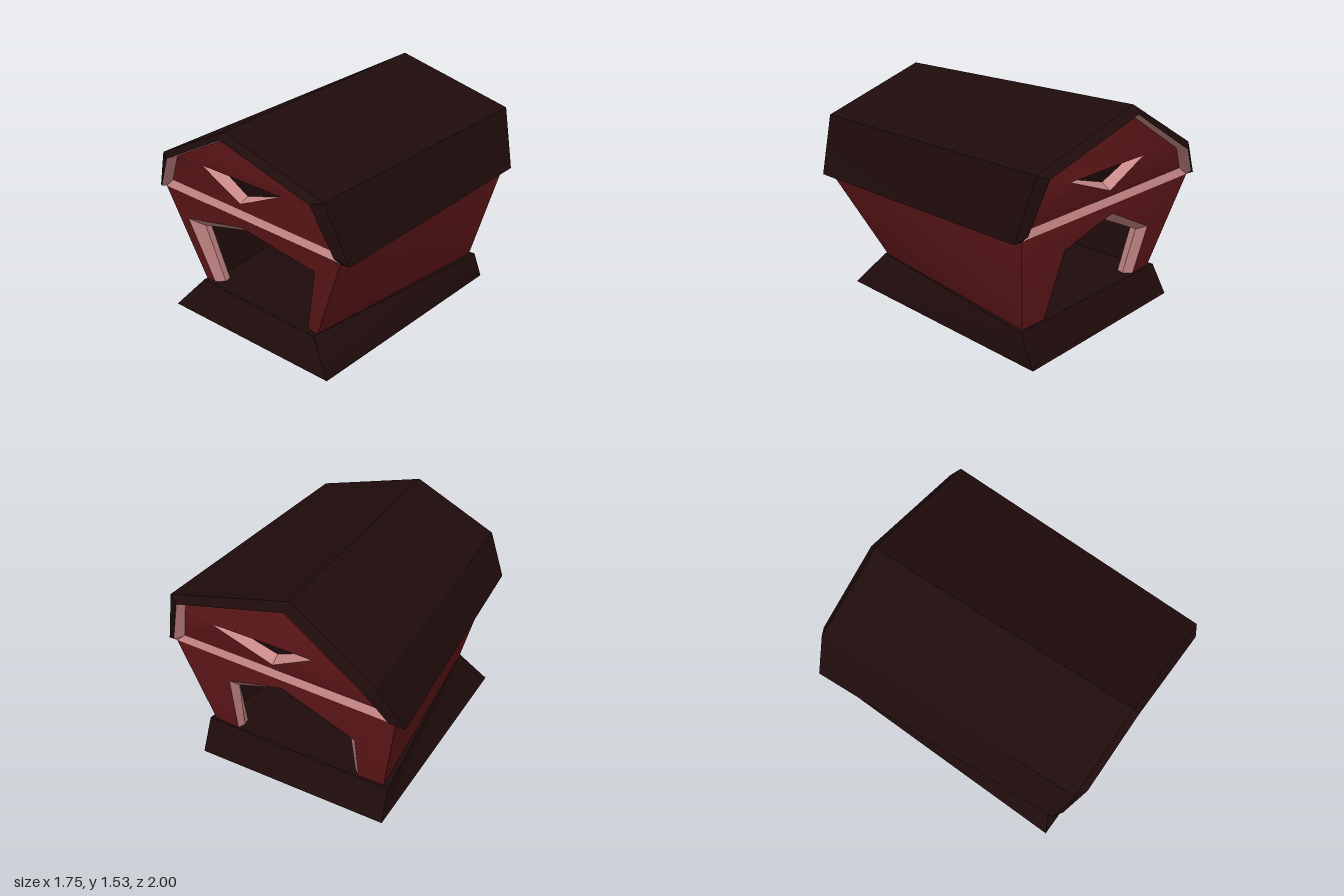
import * as THREE from 'three';
import { toCreasedNormals } from 'three/addons/utils/BufferGeometryUtils.js';

const paint = (color) => new THREE.MeshStandardMaterial({ color, side: THREE.DoubleSide });
const RED = paint(0x64181a), DARK = paint(0x1f0b0b), TRIM = paint(0xc88888);

function meshOf(name, tris, material, crease = 0.4) {
  const g = new THREE.BufferGeometry();
  g.setAttribute('position', new THREE.Float32BufferAttribute(tris.flat(2), 3));
  const m = new THREE.Mesh(toCreasedNormals(g, crease), material);
  m.name = name;
  return m;
}

const flipped = (tris, flip) => (flip ? tris.map(([p, q, r]) => [p, r, q]) : tris);

// Strip of faces between two cross-sections
function loft(a, b, closed = false, flip = false) {
  const out = [];
  const n = closed ? a.length : a.length - 1;
  for (let i = 0; i < n; i++) {
    const j = (i + 1) % a.length;
    out.push([a[i], a[j], b[j]], [a[i], b[j], b[i]]);
  }
  return flipped(out, flip);
}

// Filled outline with optional hole, turned to face the given z direction
function fill(outline, hole, dir) {
  const v2 = (l) => l.map((p) => new THREE.Vector2(p[0], p[1]));
  const all = [...outline, ...(hole || [])];
  return THREE.ShapeUtils.triangulateShape(v2(outline), hole ? [v2(hole)] : []).map((t) => {
    const [p, q, r] = t.map((i) => all[i]);
    const c = (q[0] - p[0]) * (r[1] - p[1]) - (q[1] - p[1]) * (r[0] - p[0]);
    return c * dir > 0 ? [p, q, r] : [p, r, q];
  });
}

// Each end, listed from -x over the ridge to +x; doors go from outside to inside
const ENDS = {
  front: {
    dir: 1,
    outer: [[-0.75, 0.915, 0.9], [-0.62, 1.2, 0.96], [-0.04, 1.48, 0.96], [0.74, 1.26, 0.96], [0.875, 0.88, 0.9]],
    rim: [[-0.69, 0.94, 0.94], [-0.54, 1.19, 1], [-0.04, 1.44, 1], [0.67, 1.24, 1], [0.8, 0.925, 0.945]],
    gable: [[-0.64, 0.975, 0.885], [-0.52, 1.19, 0.93], [-0.04, 1.43, 0.96], [0.655, 1.23, 0.93], [0.755, 0.925, 0.88]],
    wall: [[-0.53, 0.2, 0.735], [-0.69, 0.925, 0.9], [0.81, 0.88, 0.9], [0.48, 0.19, 0.735]],
    doors: [
      [[-0.45, 0.2], [-0.55, 0.71], [-0.02, 0.83], [0.57, 0.72], [0.4, 0.2]],
      [[-0.4, 0.2], [-0.45, 0.67], [0, 0.79], [0.545, 0.7], [0.38, 0.2]],
      [[-0.41, 0.2], [-0.46, 0.69], [0, 0.81], [0.55, 0.71], [0.385, 0.2]],
    ],
    vent: [[-0.3, 1.185], [0.37, 1.17], [0, 1.0]],
    ventIn: [[-0.21, 1.18], [0.3, 1.12], [0, 1.03]],
  },
  back: {
    dir: -1,
    outer: [[-0.875, 0.89, -0.91], [-0.71, 1.16, -0.96], [-0.13, 1.53, -0.92], [0.74, 1.31, -0.92], [0.85, 0.91, -0.86]],
    rim: [[-0.79, 0.93, -0.95], [-0.65, 1.13, -1], [-0.12, 1.48, -0.97], [0.67, 1.28, -0.96], [0.78, 0.95, -0.9]],
    gable: [[-0.75, 0.945, -0.88], [-0.62, 1.13, -0.93], [-0.12, 1.46, -0.93], [0.64, 1.27, -0.91], [0.73, 0.96, -0.85]],
    wall: [[-0.66, 0.2, -0.73], [-0.81, 0.89, -0.9], [0.79, 0.91, -0.86], [0.64, 0.22, -0.73]],
    doors: [
      [[-0.48, 0.2], [-0.5, 0.58], [-0.02, 0.84], [0.4, 0.72], [0.45, 0.21]],
      [[-0.43, 0.2], [-0.44, 0.56], [0, 0.79], [0.37, 0.655], [0.43, 0.21]],
      [[-0.44, 0.2], [-0.45, 0.61], [0, 0.82], [0.41, 0.7], [0.44, 0.21]],
    ],
    vent: [[-0.27, 1.17], [0.45, 1.19], [0.03, 1.01]],
    ventIn: [[-0.2, 1.15], [0.36, 1.165], [0.03, 1.05]],
  },
};

// Place flat openings on the leaning wall and gable
const onWall = (pts, e, inset) => pts.map(([x, y]) => [x, y, e.dir * (0.735 + (y - 0.2) * 0.23 - inset)]);
const onGable = (pts, e, inset) => pts.map(([x, y]) => [x, y, e.dir * (0.885 + (y - 0.95) * 0.16 - inset)]);

// Inner section of the hollow interior
function innerSection(e) {
  return [e.wall[0], e.wall[1], ...e.gable.slice(1, 4), e.wall[2], e.wall[3]]
    .map(([x, y, z], i) => [x * 0.93, i % 6 ? y - 0.03 : y, z - e.dir * 0.1]);
}

function buildEnd(name, e) {
  const g = new THREE.Group();
  g.name = name + 'End';
  const flip = e.dir < 0;
  const [bl, tl, tr, br] = e.wall;
  const [door, doorMid, doorIn] = e.doors.map((pts, i) => onWall(pts, e, i * 0.05));
  const vent = onGable(e.vent, e, 0), ventIn = onGable(e.ventIn, e, 0.07);
  const { gable, rim, outer } = e;

  g.add(meshOf('endWall', fill([bl, ...door, br, tr, tl], null, e.dir), RED));
  g.add(meshOf('gable', fill(gable, vent, e.dir), RED));
  g.add(meshOf('doorFrame', [...loft(doorMid, door, false, flip), ...loft(doorIn, doorMid, false, flip)], TRIM));
  g.add(meshOf('ventFrame', loft(ventIn, vent, true, !flip), TRIM));
  g.add(meshOf('ventPanel', fill(ventIn, null, e.dir), DARK));
  // Pink band under the roof edge, and the sill at the gable's foot
  g.add(meshOf('gableTrim', loft(gable, rim, false, flip), TRIM));
  g.add(meshOf('gableSill', flipped([
    [tl, tr, gable[4]], [tl, gable[4], gable[0]],
    [tl, gable[0], rim[0]], [tr, rim[4], gable[4]],
  ], flip), TRIM));
  // Roof edge bevel and the small corners under the eaves
  g.add(meshOf('roofEdge', [
    ...loft(rim, outer, false, flip),
    ...flipped([[outer[0], tl, rim[0]], [outer[4], rim[4], tr]], flip),
  ], DARK));
  // Inside face of the end wall
  const s = innerSection(e);
  g.add(meshOf('innerEndWall', fill([s[0], ...doorIn, ...s.slice(1).reverse()], null, -e.dir), DARK));
  return g;
}

export function createModel() {
  const barn = new THREE.Group();
  barn.name = 'barn';
  const { front: f, back: b } = ENDS;

  // Flared base, open underneath, with the floor on top
  const top = [[-0.53, 0.22, 0.77], [0.48, 0.19, 0.77], [0.675, 0.225, -0.75], [-0.7, 0.2, -0.75]];
  const foot = [[-0.715, 0, 0.87], [0.675, 0, 0.87], [0.675, 0, -0.855], [-0.715, 0, -0.855]];
  barn.add(meshOf('base', loft(foot, top, true), DARK, 0.95));
  barn.add(meshOf('floor', [[top[0], top[1], top[2]], [top[0], top[2], top[3]]], DARK));

  // Long walls
  barn.add(meshOf('sideWalls', [
    ...loft(f.wall.slice(0, 2), b.wall.slice(0, 2)),
    ...loft(f.wall.slice(2), b.wall.slice(2)),
  ], RED));

  // Roof with its eave undersides, and the dark interior lining
  barn.add(meshOf('roof', loft(f.outer, b.outer), DARK));
  barn.add(meshOf('eaves', [
    ...loft([f.wall[1], f.outer[0]], [b.wall[1], b.outer[0]], false, true),
    ...loft([f.outer[4], f.wall[2]], [b.outer[4], b.wall[2]]),
  ], DARK));
  barn.add(meshOf('interior', loft(innerSection(f), innerSection(b), false, true), DARK));

  for (const [name, e] of Object.entries(ENDS)) barn.add(buildEnd(name, e));
  return barn;
}
